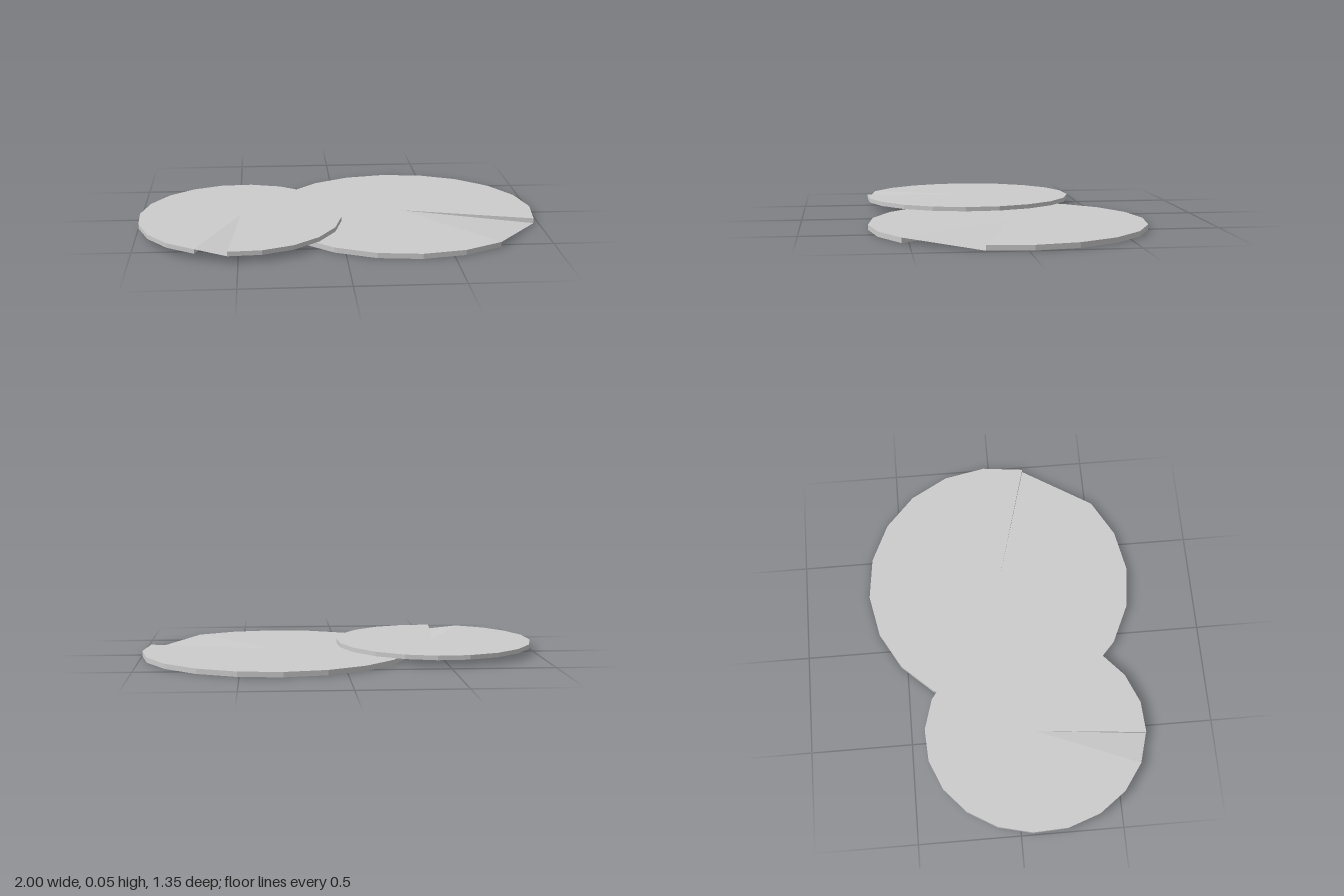
import * as THREE from 'three';

const material = new THREE.MeshStandardMaterial({ color: 0xcccccc, flatShading: true, side: THREE.DoubleSide });
const deg = Math.PI / 180;

function facetMesh(name, triangles) {
  const geometry = new THREE.BufferGeometry().setFromPoints(triangles);
  geometry.computeVertexNormals();
  const mesh = new THREE.Mesh(geometry, material);
  mesh.name = name;
  return mesh;
}

// A thin faceted disc with a notch from angle `start` spanning `gap` degrees,
// closed by a fold that runs from the bottom of one edge to the top of the other.
function createPad({ name, x, z, rx, rz, y0, y1, start, gap, segments }) {
  const group = new THREE.Group();
  group.name = name;
  const rim = (angle, y) =>
    new THREE.Vector3(x + rx * Math.cos(angle * deg), y, z + rz * Math.sin(angle * deg));
  const top = new THREE.Vector3(x, y1, z);
  const bottom = new THREE.Vector3(x, y0, z);
  const end = start + gap;
  const step = (360 - gap) / segments;

  // Upper face, lower face and rim
  const upper = [], lower = [], edge = [];
  for (let i = 0; i < segments; i++) {
    const a = end + i * step, b = a + step;
    const at = rim(a, y1), bt = rim(b, y1), ab = rim(a, y0), bb = rim(b, y0);
    upper.push(top, bt, at);
    lower.push(bottom, ab, bb);
    edge.push(ab, at, bt, ab, bt, bb);
  }
  group.add(facetMesh('upperFace', upper), facetMesh('lowerFace', lower), facetMesh('rim', edge));

  // Notch walls and the sloping fold between them
  const st = rim(start, y1), sb = rim(start, y0), et = rim(end, y1), eb = rim(end, y0);
  group.add(facetMesh('notchWalls', [
    bottom, sb, st, bottom, st, top,
    bottom, et, eb, bottom, top, et,
  ]));
  group.add(facetMesh('fold', [top, et, sb]));
  return group;
}

export function createModel() {
  const model = new THREE.Group();
  model.name = 'lilyPads';
  model.add(
    createPad({ name: 'largePad', x: 0.325, z: 0, rx: 0.675, rz: 0.675, y0: 0, y1: 0.025, start: 15.7, gap: 36.3, segments: 18 }),
    createPad({ name: 'smallPad', x: -0.495, z: 0.115, rx: 0.505, rz: 0.55, y0: 0.03, y1: 0.052, start: 96, gap: 18, segments: 19 }),
  );
  return model;
}
